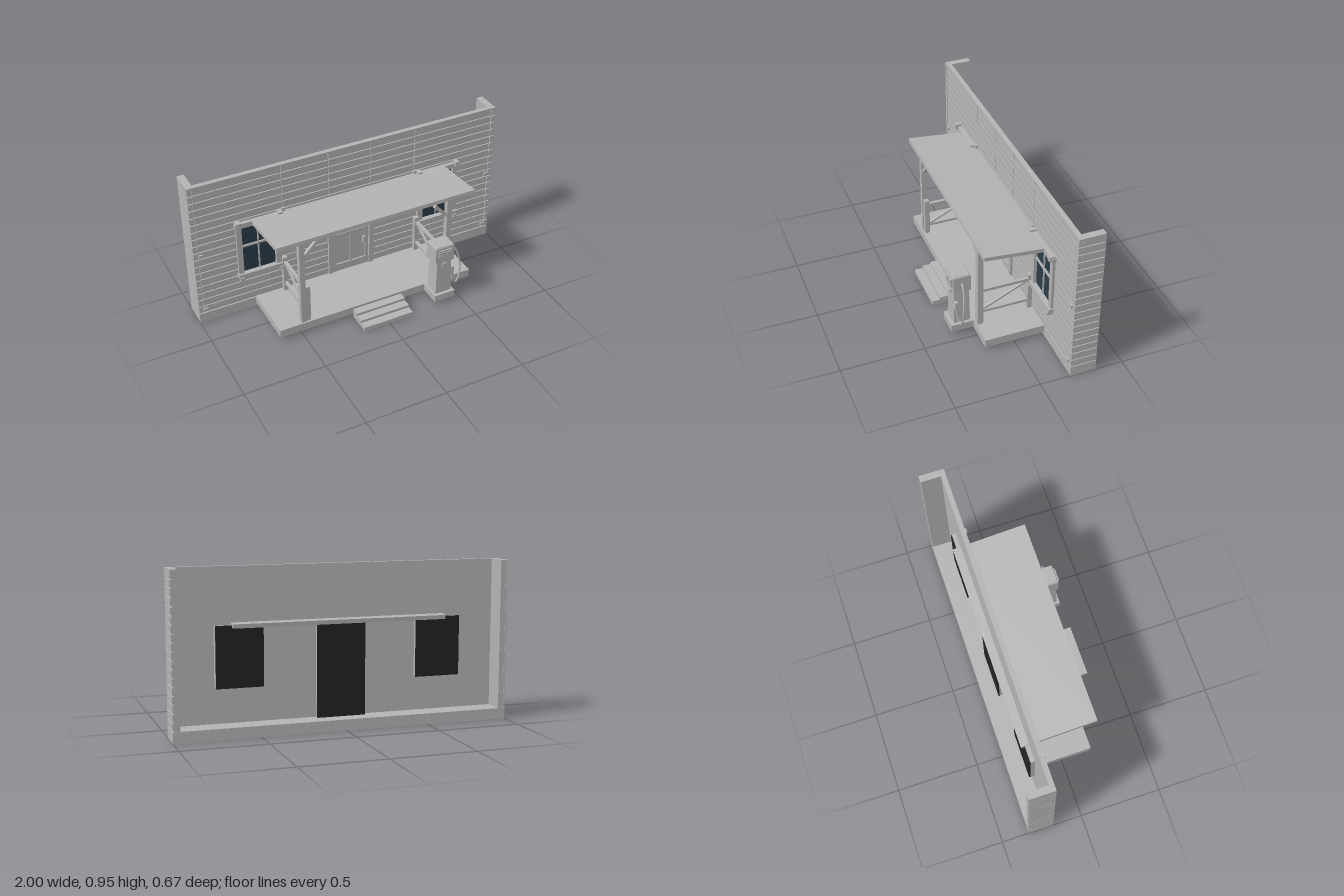
import * as THREE from 'three';

const mat = (name, color, side = THREE.FrontSide) => {
  const m = new THREE.MeshStandardMaterial({ color, side });
  m.name = name;
  return m;
};

export function createModel() {
  const model = new THREE.Group();
  model.name = 'porchFacade';
  const grey = mat('plainGrey', 0xb4b4b4);
  const glass = mat('darkBlueGlass', 0x2c3c48);
  const black = mat('blackBacking', 0x222222);

  const group = (name) => {
    const g = new THREE.Group();
    g.name = name;
    model.add(g);
    return g;
  };
  // Box given by its two opposite corners
  const box = (parent, name, x0, x1, y0, y1, z0, z1, m = grey) => {
    const mesh = new THREE.Mesh(new THREE.BoxGeometry(Math.abs(x1 - x0), y1 - y0, z1 - z0), m);
    mesh.position.set((x0 + x1) / 2, (y0 + y1) / 2, (z0 + z1) / 2);
    mesh.name = name;
    parent.add(mesh);
    return mesh;
  };
  // Square bar between two points
  const bar = (parent, name, a, b, t) => {
    const p = new THREE.Vector3(...a), q = new THREE.Vector3(...b);
    const mesh = new THREE.Mesh(new THREE.BoxGeometry(t, t, p.distanceTo(q)), grey);
    mesh.position.copy(p).add(q).multiplyScalar(0.5);
    mesh.lookAt(q);
    mesh.name = name;
    parent.add(mesh);
  };

  // Base and backing walls
  const wall = group('wall');
  box(wall, 'foundation', -1, 1, 0, 0.065, -0.335, -0.18);
  box(wall, 'frontBacking', -0.99, 0.99, 0.065, 0.943, -0.21, -0.19);
  box(wall, 'topCap', -1, 1, 0.943, 0.95, -0.21, -0.181);

  // Siding boards with narrow grooves, cut around the openings
  const step = 0.0488, gap = 0.006;
  for (let i = 0; i < 18; i++) {
    const y0 = 0.065 + i * step + gap, y1 = y0 + step - gap;
    let spans;
    if (i >= 12) spans = [[-0.97, -0.442], [-0.437, -0.142], [-0.137, 0.137], [0.142, 0.432], [0.437, 0.97]];
    else if (i === 11) spans = [[-0.97, 0.97]];
    else if (i >= 4) spans = [[-0.97, -0.73], [-0.47, -0.145], [0.145, 0.47], [0.73, 0.97]];
    else spans = [[-0.97, -0.145], [0.145, 0.97]];
    for (const [a, b] of spans) box(wall, 'frontBoard', a, b, y0, y1, -0.19, -0.182);
    for (const s of [-1, 1]) {
      box(wall, 'sideBoard', s * 0.99, s, y0, y1, -0.335, -0.205);
      box(wall, 'cornerBlock', s * 0.974, s, y0, y1, -0.204, -0.18);
    }
  }
  for (const s of [-1, 1]) {
    box(wall, 'sideBacking', s * 0.958, s * 0.99, 0.065, 0.943, -0.333, -0.208);
    box(wall, 'sideCap', s * 0.958, s, 0.943, 0.95, -0.335, -0.21);
    for (const y of [0.09, 0.48]) box(wall, 'wallBracket', s * 0.945, s * 0.972, y - 0.011, y + 0.011, -0.185, -0.172);
    for (const y of [0.1, 0.15, 0.2, 0.25]) box(wall, 'nailHead', s * 0.898, s * 0.905, y - 0.005, y + 0.005, -0.183, -0.179);
  }

  // Windows, one mirrored pair
  for (const s of [-1, 1]) {
    const w = group(s > 0 ? 'leftWindow' : 'rightWindow');
    const b = (name, x0, x1, ...r) => box(w, name, s * x0, s * x1, ...r);
    b('pane', 0.49, 0.71, 0.27, 0.615, -0.19, -0.184, glass);
    b('innerTrim', 0.462, 0.498, 0.26, 0.61, -0.19, -0.165);
    b('outerTrim', 0.705, 0.738, 0.26, 0.61, -0.19, -0.165);
    b('headTrim', 0.455, 0.745, 0.608, 0.64, -0.19, -0.157);
    b('sill', 0.455, 0.745, 0.258, 0.283, -0.19, -0.152);
    b('uprightBar', 0.597, 0.605, 0.28, 0.61, -0.185, -0.176);
    b('crossBar', 0.495, 0.708, 0.46, 0.472, -0.185, -0.174);
    for (const x of [0.45, 0.712]) {
      b('headHorn', x, x + 0.028, 0.62, 0.652, -0.18, -0.145);
      b('sillHorn', x, x + 0.028, 0.243, 0.262, -0.18, -0.145);
    }
    b('rearCasing', 0.462, 0.738, 0.27, 0.62, -0.236, -0.21);
    b('rearPanel', 0.46, 0.735, 0.268, 0.622, -0.243, -0.236, black);
  }

  // Door with stiles, rails and panels
  const door = group('door');
  box(door, 'panel', -0.13, 0.13, 0.075, 0.6, -0.19, -0.185);
  for (const s of [-1, 1]) {
    box(door, 'jamb', s * 0.124, s * 0.153, 0.075, 0.6, -0.19, -0.168);
    box(door, 'stile', s * 0.1, s * 0.121, 0.08, 0.505, -0.186, -0.176);
  }
  box(door, 'header', -0.156, 0.156, 0.598, 0.622, -0.19, -0.163);
  for (const [y0, y1] of [[0.075, 0.125], [0.33, 0.35], [0.493, 0.505], [0.512, 0.525], [0.588, 0.598]])
    box(door, 'rail', -0.122, 0.122, y0, y1, -0.186, -0.175);
  box(door, 'middleStile', -0.005, 0.005, 0.12, 0.59, -0.186, -0.177);
  box(door, 'handle', 0.08, 0.092, 0.24, 0.285, -0.178, -0.162);
  box(door, 'rearCasing', -0.142, 0.142, 0.065, 0.612, -0.236, -0.21);
  box(door, 'rearPanel', -0.145, 0.145, 0.065, 0.614, -0.243, -0.236, black);

  // Porch deck, steps and sloping roof
  const porch = group('porch');
  box(porch, 'deck', -0.64, 0.64, 0.025, 0.075, -0.18, 0.185);
  [[0, 0.027, 0.335], [0.027, 0.044, 0.285], [0.044, 0.06, 0.235]].forEach(([y0, y1, z]) =>
    box(porch, 'step', -0.165, 0.158, y0, y1, 0.183, z));
  const roof = box(porch, 'roof', -0.64, 0.64, 0.628, 0.652, -0.26, 0.195);
  roof.position.y = 0.64;
  roof.rotation.x = -0.097;
  for (const s of [-1, 1]) {
    const x = s * 0.45;
    box(porch, 'frontPost', s * 0.465, s * 0.498, 0.075, 0.652, 0.142, 0.176);
    box(porch, 'frontNewel', s * 0.435, s * 0.465, 0.075, 0.318, 0.14, 0.17);
    box(porch, 'rearNewel', s * 0.435, s * 0.465, 0.075, 0.318, -0.175, -0.148);
    box(porch, 'topRail', x - 0.01, x + 0.01, 0.275, 0.293, -0.15, 0.142);
    box(porch, 'lowRail', x - 0.01, x + 0.01, 0.124, 0.14, -0.15, 0.142);
    bar(porch, 'diagonalRail', [x, 0.138, 0.138], [x, 0.276, -0.15], 0.012);
    bar(porch, 'postBrace', [s * 0.475, 0.52, 0.158], [s * 0.385, 0.615, 0.158], 0.02);
    box(porch, 'roofBracket', s * 0.428, s * 0.448, 0.62, 0.66, -0.185, -0.168);
  }

  // Fuel pump
  const pump = group('fuelPump');
  box(pump, 'plinth', 0.32, 0.455, 0.03, 0.076, 0.183, 0.32);
  const body = box(pump, 'body', 0.333, 0.437, 0.075, 0.3, 0.2, 0.3);
  const taper = (mesh, kx, kz, from) => {
    const p = mesh.geometry.attributes.position;
    for (let i = 0; i < p.count; i++)
      if (p.getY(i) > from) p.setXYZ(i, p.getX(i) * kx, p.getY(i), p.getZ(i) * kz);
    mesh.geometry.computeVertexNormals();
  };
  taper(body, 0.9, 0.92, 0);
  box(pump, 'collar', 0.332, 0.438, 0.296, 0.306, 0.203, 0.3);
  box(pump, 'head', 0.323, 0.447, 0.305, 0.408, 0.198, 0.303);
  taper(box(pump, 'headTop', 0.323, 0.447, 0.408, 0.417, 0.198, 0.303), 0.9, 0.9, 0);
  box(pump, 'dialFrame', 0.34, 0.43, 0.345, 0.395, 0.302, 0.311);
  for (const x of [0.352, 0.392]) box(pump, 'dial', x, x + 0.026, 0.358, 0.384, 0.31, 0.316);
  box(pump, 'frontBadge', 0.372, 0.398, 0.277, 0.296, 0.29, 0.307);
  box(pump, 'nozzleHolder', 0.428, 0.456, 0.18, 0.238, 0.279, 0.296);
  const path = [[0.445, 0.365, 0.252], [0.475, 0.35, 0.255], [0.508, 0.27, 0.262], [0.512, 0.15, 0.271],
    [0.485, 0.098, 0.276], [0.46, 0.125, 0.282], [0.45, 0.2, 0.287]];
  const hose = new THREE.Mesh(new THREE.TubeGeometry(
    new THREE.CatmullRomCurve3(path.map((p) => new THREE.Vector3(...p))), 36, 0.0055, 8), grey);
  hose.name = 'hose';
  pump.add(hose);

  return model;
}
